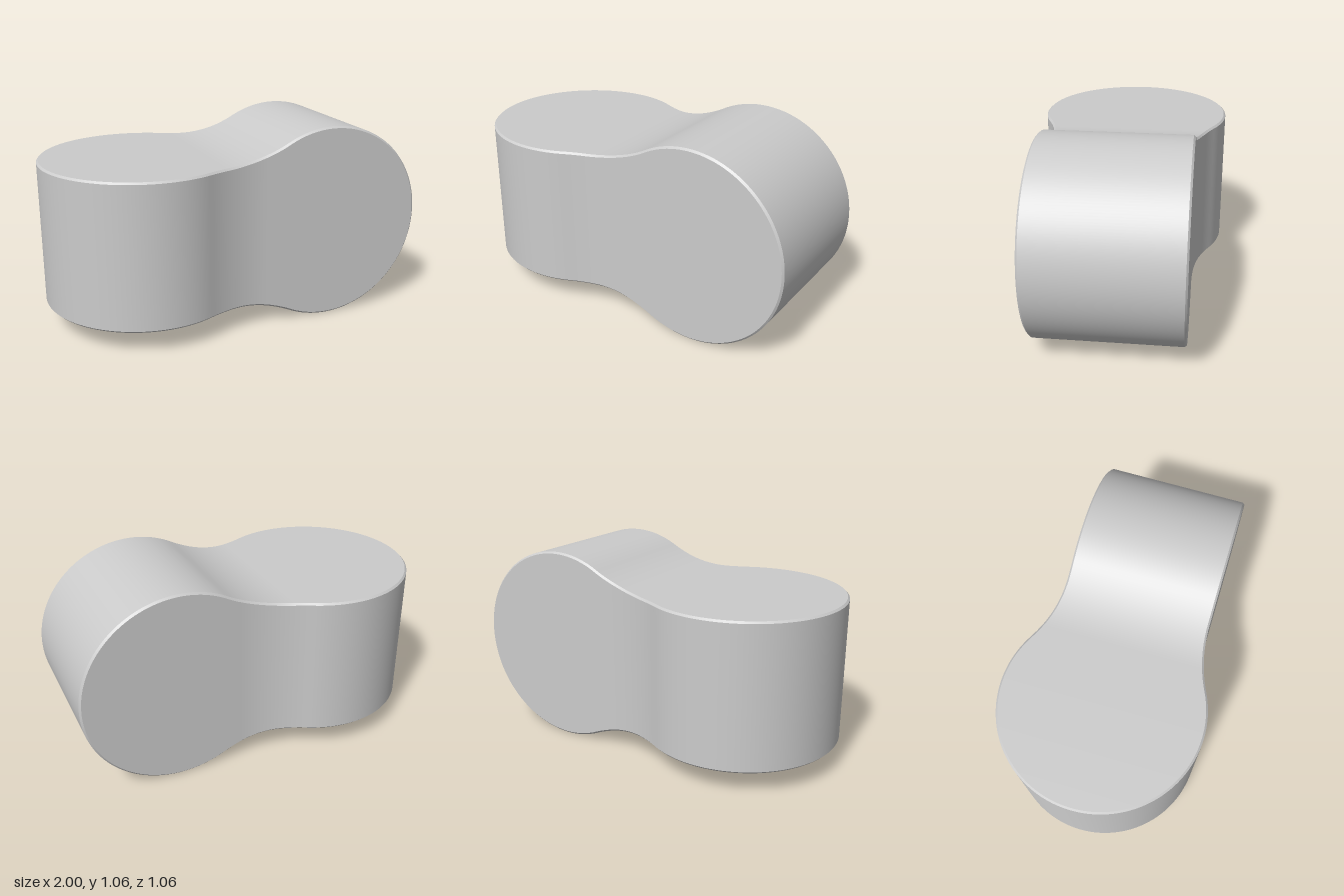
import * as THREE from 'three';
import { toCreasedNormals } from 'three/addons/utils/BufferGeometryUtils.js';

const R = 0.53;        // radius of each round end
const CX = 0.47;       // distance of each round end from the middle
const MID_Y = 0.531;
const CHAMFER = 0.01;
const STEPS = 160;

// Keyhole outline: a flat neck blending by a concave arc into a round head at +CX.
// Gives the half height h and the outward normal (nx, nh) at a position x.
function outline(x, flat, blend) {
  const rise = flat + blend;
  const arcX = CX - Math.sqrt((R + blend) ** 2 - rise ** 2);
  const joinX = CX - (CX - arcX) * R / (R + blend);
  if (x <= arcX) return { h: flat, nx: 0, nh: 1 };
  if (x < joinX) {
    const drop = Math.sqrt(blend ** 2 - (x - arcX) ** 2);
    return { h: rise - drop, nx: (arcX - x) / blend, nh: drop / blend };
  }
  const h = Math.sqrt(Math.max(0, R * R - (x - CX) ** 2));
  return { h, nx: (x - CX) / R, nh: h / R };
}

// The same keyhole seen from the front, and turned round when seen from above
const height = (x, up) => (up ? outline(x, 0.374, 0.75) : outline(x, 0.402, 0.8));
function depth(x, front) {
  const o = front ? outline(-x, 0.404, 0.8) : outline(-x, 0.375, 0.75);
  return { h: o.h, nx: -o.nx, nh: o.nh };
}

// Chamfer corner lying on a side wall, pulled in from the upper or lower surface
function wallCorner(x, sy, sz) {
  const y = height(x, sy > 0);
  const px = x - CHAMFER * y.nx;
  return [px, MID_Y + sy * (y.h - CHAMFER * y.nh), sz * depth(px, sz > 0).h];
}

// Chamfer corner lying on the upper or lower surface, pulled in from a side wall
function capCorner(x, sy, sz) {
  const z = depth(x, sz > 0);
  const px = x - CHAMFER * z.nx;
  return [px, MID_Y + sy * height(px, sy > 0).h, sz * (z.h - CHAMFER * z.nh)];
}

// Loft of chamfered rectangles along x
function bodyGeometry() {
  const positions = [];
  const index = [];
  for (let i = 0; i <= STEPS; i++) {
    const x = -Math.cos(Math.PI * i / STEPS);
    positions.push(
      ...wallCorner(x, 1, 1), ...capCorner(x, 1, 1),
      ...capCorner(x, 1, -1), ...wallCorner(x, 1, -1),
      ...wallCorner(x, -1, -1), ...capCorner(x, -1, -1),
      ...capCorner(x, -1, 1), ...wallCorner(x, -1, 1)
    );
    if (i === STEPS) break;
    for (let k = 0; k < 8; k++) {
      const a = i * 8 + k;
      const b = i * 8 + (k + 1) % 8;
      index.push(a, a + 8, b, a + 8, b + 8, b);
    }
  }
  const geometry = new THREE.BufferGeometry();
  geometry.setAttribute('position', new THREE.Float32BufferAttribute(positions, 3));
  geometry.setIndex(index);
  return toCreasedNormals(geometry, 0.4);
}

export function createModel() {
  const group = new THREE.Group();
  group.name = 'crossedKeyholeBlock';
  const material = new THREE.MeshStandardMaterial({ color: 0xcccccc });
  const body = new THREE.Mesh(bodyGeometry(), material);
  body.name = 'body';
  group.add(body);
  return group;
}
